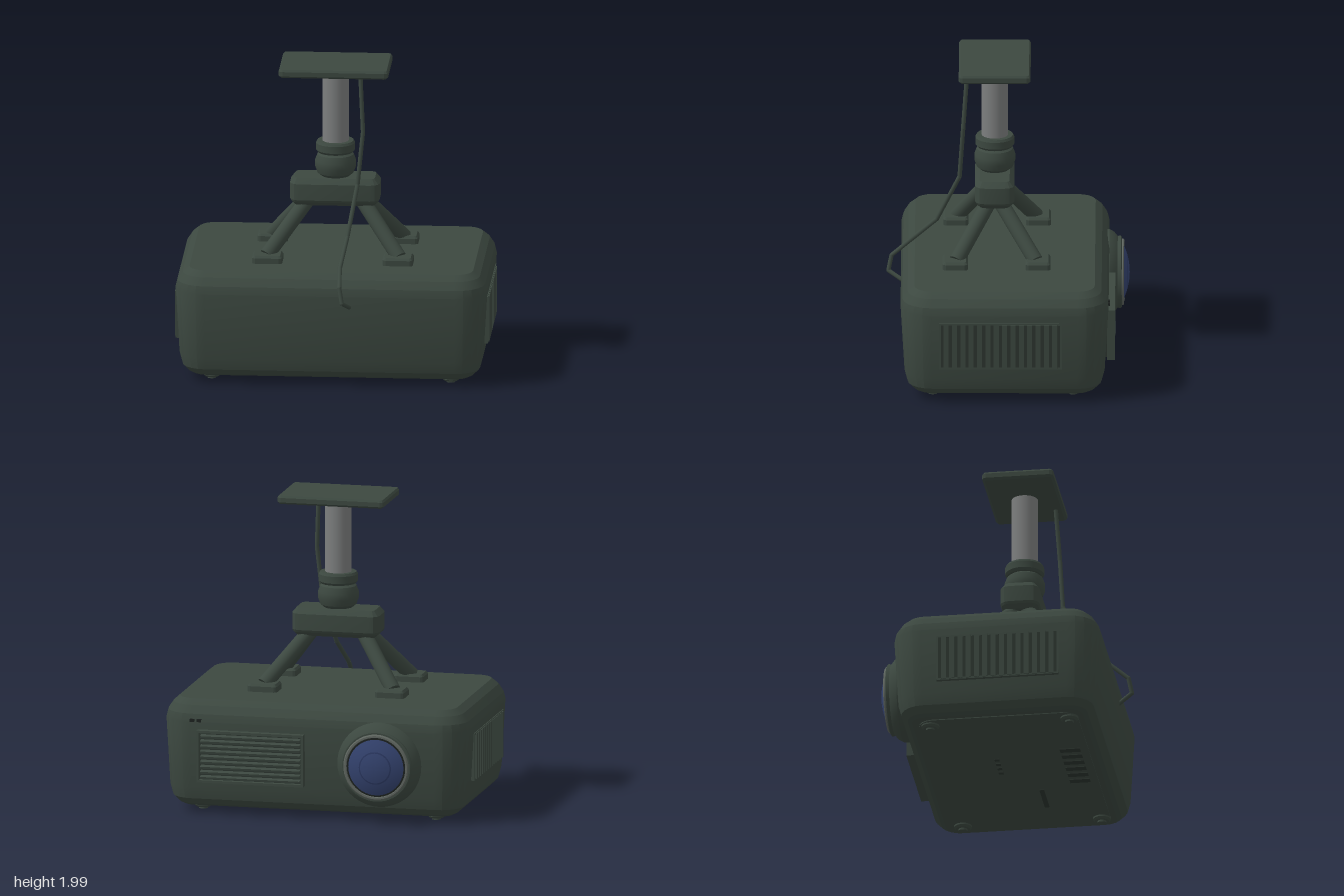
import * as THREE from 'three';
import { toCreasedNormals } from 'three/addons/utils/BufferGeometryUtils.js';

const paint = (name, color) => Object.assign(new THREE.MeshStandardMaterial({ color }), { name });

// Stack of rounded rectangles; rings are [height, inset] from bottom to top
function loft(rings, hx, hz, radius, seg = 4, crease = 0.3) {
  const pos = [], idx = [];
  const n = 4 * (seg + 1);
  for (const [y, inset] of rings) {
    const r = Math.max(radius - inset, 0.01);
    for (let q = 0; q < 4; q++) {
      const sx = q === 0 || q === 3 ? 1 : -1, sz = q < 2 ? 1 : -1;
      for (let k = 0; k <= seg; k++) {
        const a = (q + k / seg) * Math.PI / 2;
        pos.push(sx * (hx - inset - r) + r * Math.cos(a), y, sz * (hz - inset - r) + r * Math.sin(a));
      }
    }
  }
  const last = rings.length - 1;
  for (let i = 0; i < last; i++) for (let j = 0; j < n; j++) {
    const a = i * n + j, b = i * n + (j + 1) % n;
    idx.push(a, a + n, b, b, a + n, b + n);
  }
  const bottom = pos.length / 3, top = bottom + 1;
  pos.push(0, rings[0][0], 0, 0, rings[last][0], 0);
  for (let j = 0; j < n; j++) {
    const k = (j + 1) % n;
    idx.push(bottom, j, k, top, last * n + k, last * n + j);
  }
  const g = new THREE.BufferGeometry();
  g.setAttribute('position', new THREE.Float32BufferAttribute(pos, 3));
  g.setIndex(idx);
  return toCreasedNormals(g, crease);
}

const lathe = (pts, seg = 40) =>
  toCreasedNormals(new THREE.LatheGeometry(pts.map(p => new THREE.Vector2(...p)), seg), 0.45);

export function createModel() {
  const root = new THREE.Group();
  root.name = 'ceilingProjector';
  const shell = paint('shell green', 0x3c4840);
  const recess = paint('recess dark green', 0x2c352f);
  const steel = paint('pole grey', 0x7c7e7e);
  const trim = paint('lens trim grey', 0x5f6660);
  const black = paint('lens black', 0x1c211f);
  const glass = paint('lens blue', 0x34436f);
  const core = paint('lens core blue', 0x2a3760);

  const add = (name, geo, mat, x = 0, y = 0, z = 0, parent = root) => {
    const m = new THREE.Mesh(geo, mat);
    m.name = name;
    m.position.set(x, y, z);
    parent.add(m);
    return m;
  };
  const box = (name, mat, w, h, d, x, y, z) => add(name, new THREE.BoxGeometry(w, h, d), mat, x, y, z);
  const rod = (name, a, b, r, mat, seg) => {
    const p = new THREE.Vector3(...a), q = new THREE.Vector3(...b), dir = q.clone().sub(p);
    const m = add(name, new THREE.CylinderGeometry(r, r, dir.length(), seg), mat);
    m.position.copy(p).add(q).multiplyScalar(0.5);
    m.quaternion.setFromUnitVectors(new THREE.Vector3(0, 1, 0), dir.normalize());
  };

  // Main housing
  add('housing', loft([[0.04, 0.115], [0.055, 0.085], [0.095, 0.045], [0.17, 0.025], [0.6, 0],
    [0.65, 0.012], [0.7, 0.045], [0.735, 0.088]], 0.99, 0.66, 0.2, 5), shell, 0, 0, 0.015);
  add('bottomPanel', loft([[0.034, 0], [0.042, 0]], 0.84, 0.51, 0.1), shell, 0, 0, 0.015);

  // Feet under the corners
  const foot = lathe([[0, 0], [0.028, 0], [0.028, 0.012], [0.045, 0.012], [0.057, 0.024], [0.057, 0.06]], 24);
  for (const x of [-0.76, 0.76]) for (const z of [-0.42, 0.47]) add('foot', foot, shell, x, 0, z);

  // Slots and small marks underneath
  for (let i = 0; i < 6; i++) box('bottomSlot', recess, 0.05, 0.008, 0.13, -0.285 + i * 0.092, 0.032, 0.41);
  for (let i = 0; i < 4; i++) box('bottomStud', recess, 0.03, 0.008, 0.03, -0.2 + i * 0.065, 0.032, -0.07);
  box('bottomRib', recess, 0.26, 0.006, 0.03, 0.41, 0.032, 0.15);

  // Side vents with upright slats
  for (const s of [-1, 1]) {
    box('sideVentPanel', recess, 0.03, 0.295, 0.77, s * 0.974, 0.3975, 0.04);
    for (let i = 0; i < 14; i++)
      box('sideVentSlat', shell, 0.04, 0.295, 0.032, s * 0.98, 0.3975, 0.385 - i * 0.053);
    for (const y of [0.25, 0.545]) box('sideVentRim', shell, 0.032, 0.012, 0.78, s * 0.977, y, 0.04);
    for (const z of [-0.345, 0.425]) box('sideVentRim', shell, 0.032, 0.3, 0.012, s * 0.977, 0.3975, z);
  }

  // Louvred grille beside the lens
  box('grillePanel', recess, 0.66, 0.31, 0.03, 0.395, 0.385, -0.638);
  for (let i = 0; i < 9; i++) {
    const slat = box('grilleSlat', shell, 0.65, 0.013, 0.046, 0.395, 0.253 + i * 0.033, -0.66);
    slat.rotation.x = -0.25;
  }
  for (const y of [0.225, 0.545]) box('grilleRim', shell, 0.69, 0.016, 0.05, 0.395, y, -0.66);
  for (const x of [0.055, 0.735]) box('grilleRim', shell, 0.016, 0.336, 0.05, x, 0.385, -0.66);
  for (const x of [0.735, 0.78]) box('indicator', black, 0.028, 0.018, 0.02, x, 0.61, -0.643);

  // Lens, turned about its axis and facing the back
  const lens = new THREE.Group();
  lens.name = 'lens';
  lens.position.set(-0.44, 0.38, 0);
  lens.rotation.x = -Math.PI / 2;
  root.add(lens);
  const ring = (name, pts, mat) => add(name, lathe(pts, 48), mat, 0, 0, 0, lens);
  ring('lensHousing', [[0.275, 0.58], [0.272, 0.645], [0.255, 0.675], [0.225, 0.7], [0.205, 0.702]], shell);
  ring('lensCollar', [[0.228, 0.698], [0.23, 0.718], [0.222, 0.724], [0.2, 0.724]], shell);
  ring('lensTrim', [[0.212, 0.72], [0.212, 0.733], [0.205, 0.739], [0.194, 0.739], [0.19, 0.725]], trim);
  ring('lensGap', [[0.2, 0.728], [0.16, 0.73]], black);
  const dome = (r, r0, lift) => Array.from({ length: 9 }, (_, i) => {
    const t = r0 + (r - r0) * (1 - i / 8);
    return [t, 0.732 + lift + 0.042 * (1 - (t / 0.18) ** 2)];
  });
  ring('lensGlass', dome(0.18, 0.105, 0), glass);
  ring('lensInnerRing', dome(0.105, 0.096, 0), core);
  ring('lensCentre', dome(0.096, 0, 0), glass);

  // Ceiling mount: pads and splayed legs
  const cz = 0.08;
  const pad = loft([[0.73, 0], [0.77, 0], [0.785, 0.012]], 0.096, 0.08, 0.02, 2);
  for (const sx of [-1, 1]) for (const sz of [-1, 1]) {
    add('mountPad', pad, shell, sx * 0.415, 0, 0.067 + sz * 0.262);
    rod('mountLeg', [sx * 0.42, 0.77, 0.07 + sz * 0.25], [sx * 0.16, 1.1, cz + sz * 0.02], 0.048, shell, 20);
  }

  // Hub, ball joint, collar, pole and ceiling plate
  add('mountHub', loft([[1.06, 0.035], [1.085, 0.008], [1.1, 0], [1.205, 0], [1.24, 0.03]],
    0.285, 0.125, 0.06, 3), shell, 0, 0, cz);
  add('ballJoint', lathe([[0.085, 1.235], [0.115, 1.26], [0.13, 1.3], [0.13, 1.34], [0.115, 1.38], [0.09, 1.4]], 32),
    shell, 0, 0, cz);
  add('poleCollar', lathe([[0.08, 1.392], [0.112, 1.395], [0.124, 1.41], [0.124, 1.455], [0.115, 1.47], [0.08, 1.47]], 32),
    shell, 0, 0, cz);
  rod('pole', [0, 1.46, cz], [0, 1.94, cz], 0.084, steel, 32);
  add('ceilingPlate', loft([[1.93, 0.016], [1.943, 0], [1.972, 0], [1.985, 0.01]], 0.348, 0.228, 0.025, 2),
    shell, 0, 0, cz);

  // Cable running from the plate to the housing
  const path = [[0.17, 1.94, 0.255], [0.188, 1.58, 0.28], [0.155, 1.24, 0.303], [0.1, 0.935, 0.447],
    [0.064, 0.775, 0.62], [0.068, 0.677, 0.735], [0.085, 0.58, 0.755], [0.125, 0.533, 0.67]];
  path.forEach((p, i) => {
    if (i) rod('cable', path[i - 1], p, 0.014, shell, 10);
    add('cableBend', new THREE.SphereGeometry(0.014, 10, 8), shell, ...p);
  });

  return root;
}
